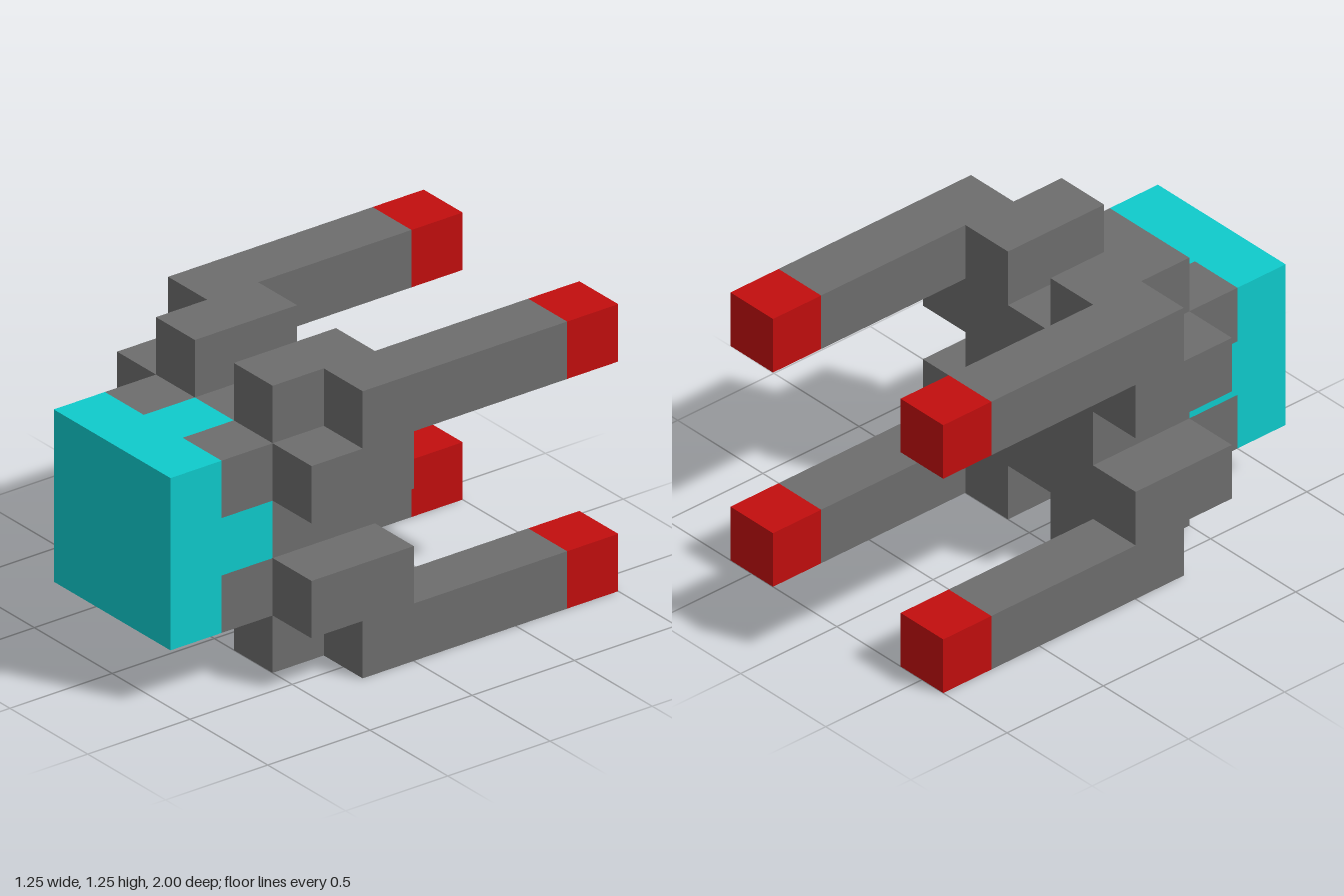
import * as THREE from 'three';

const U = 0.25; // edge of one block
const MID_Y = 0.625; // height of the body's axis

export function createModel() {
  const hullGrey = new THREE.MeshStandardMaterial({ color: 0x6d6d6d });
  hullGrey.name = 'hull grey';
  const glassCyan = new THREE.MeshStandardMaterial({ color: 0x0fcbcc });
  glassCyan.name = 'glass cyan';
  const tipRed = new THREE.MeshStandardMaterial({ color: 0xc20e0e });
  tipRed.name = 'tip red';

  const model = new THREE.Group();
  model.name = 'blockShip';

  // Box given by its size and centre in blocks, measured from the body's axis
  function block(parent, name, material, [w, h, d], [x, y, z]) {
    const mesh = new THREE.Mesh(new THREE.BoxGeometry(w * U, h * U, d * U), material);
    mesh.position.set(x * U, MID_Y + y * U, z * U);
    mesh.name = name;
    parent.add(mesh);
  }

  // Central body and the glazed front
  block(model, 'body', hullGrey, [3, 3, 2], [0, 0, 1]);
  block(model, 'frontWindow', glassCyan, [3, 3, 1], [0, 0, 3.5]);
  block(model, 'windowCrossbar', glassCyan, [3, 1, 1], [0, 0, 2.5]);

  for (const sy of [1, -1]) {
    block(model, 'windowUpright', glassCyan, [1, 1, 1], [0, sy, 2.5]);
    for (const sx of [1, -1]) {
      // Grey corner behind the window, then the stepped shoulder and its arm
      block(model, 'windowCorner', hullGrey, [1, 1, 1], [sx, sy, 2.5]);
      const arm = new THREE.Group();
      arm.name = (sy > 0 ? 'upper' : 'lower') + (sx > 0 ? 'Left' : 'Right') + 'Arm';
      block(arm, 'sideShoulder', hullGrey, [1, 1, 2], [sx * 2, sy, 1]);
      block(arm, 'innerShoulder', hullGrey, [1, 1, 2], [sx, sy * 2, 1]);
      block(arm, 'armBeam', hullGrey, [1, 1, 4], [sx * 2, sy * 2, -1]);
      block(arm, 'armTip', tipRed, [1, 1, 1], [sx * 2, sy * 2, -3.5]);
      model.add(arm);
    }
  }
  return model;
}
